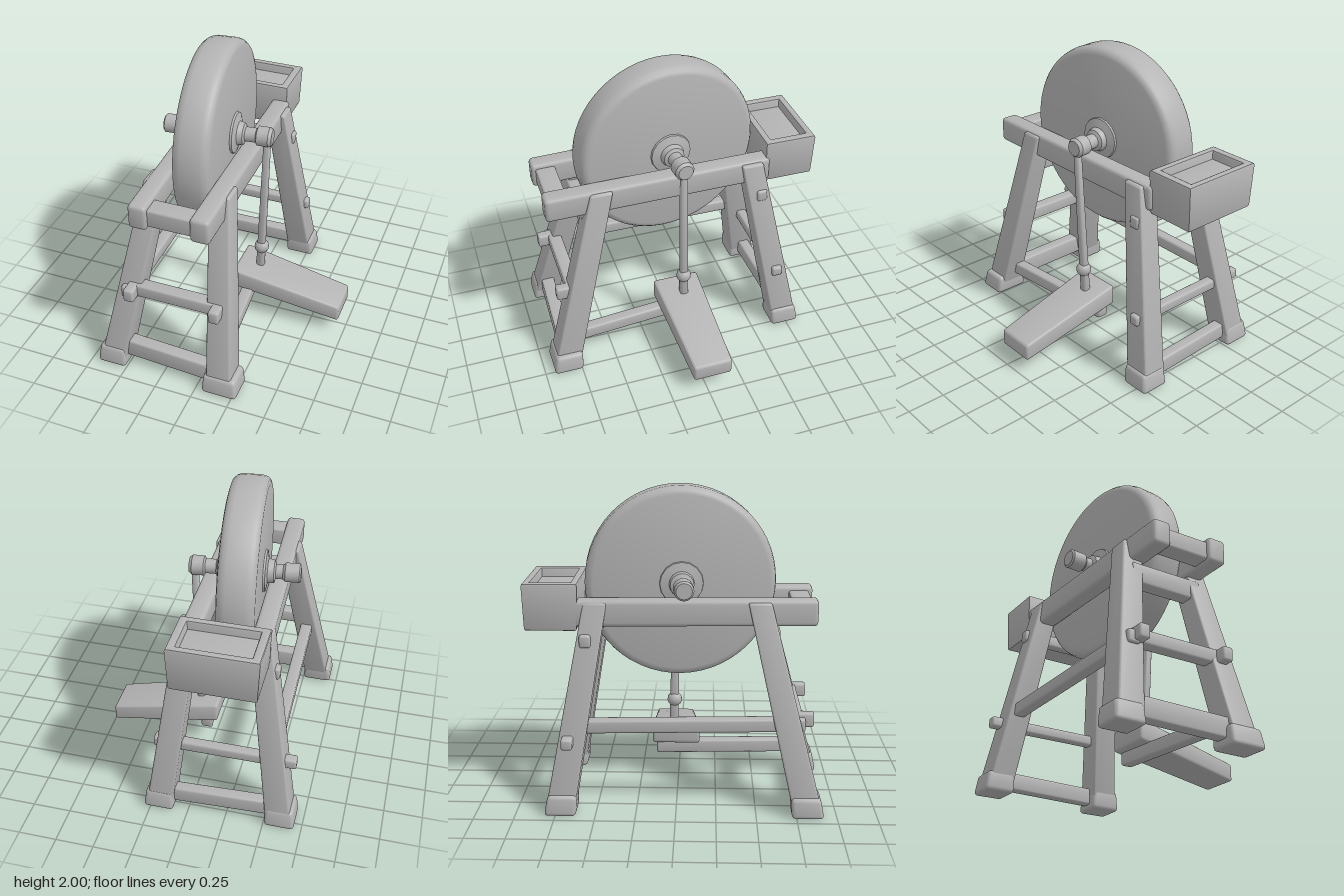
import * as THREE from 'three';
import { toCreasedNormals } from 'three/addons/utils/BufferGeometryUtils.js';
import { RoundedBoxGeometry } from 'three/addons/geometries/RoundedBoxGeometry.js';

export function createModel() {
  const model = new THREE.Group();
  model.name = 'treadleGrindstone';
  const grey = new THREE.MeshStandardMaterial({ color: 0xb4b4b4 });
  grey.name = 'plain grey';

  const add = (name, geometry, parent = model) => {
    const mesh = new THREE.Mesh(toCreasedNormals(geometry, 0.6), grey);
    mesh.name = name;
    parent.add(mesh);
    return mesh;
  };

  // Rounded timber from a to b along one main axis; size is its section at a,
  // taper scales the section at b. Sections stay square to the main axis.
  const beam = (name, axis, a, b, size, taper = 1, radius = 0.015) => {
    const k = 'xyz'.indexOf(axis);
    const length = Math.abs(b[k] - a[k]);
    const dims = [...size];
    dims.splice(k, 0, length);
    const g = new RoundedBoxGeometry(...dims, 2, radius);
    const p = g.attributes.position;
    for (let i = 0; i < p.count; i++) {
      const v = [p.getX(i), p.getY(i), p.getZ(i)];
      const t = v[k] / length + 0.5;
      const s = 1 + (taper - 1) * t;
      const out = v.map((c, j) => a[j] + (b[j] - a[j]) * t + (j === k ? 0 : c * s));
      p.setXYZ(i, ...out);
    }
    return add(name, g);
  };

  // Splayed legs with block feet: foot centre, then top centre
  const legs = [
    ['frontLeft', [0.16, 0.84], [0.05, 0.51]],
    ['frontRight', [-0.6, 0.82], [-0.38, 0.51]],
    ['backLeft', [0.19, -0.74], [0.05, -0.5]],
    ['backRight', [-0.6, -0.72], [-0.4, -0.5]],
  ];
  for (const [name, [fx, fz], [tx, tz]] of legs) {
    beam(name + 'Leg', 'y', [fx, 0.03, fz], [tx, 1.31, tz], [0.17, 0.18], 0.8);
    const w = name === 'frontLeft' ? 0.24 : 0.2;
    beam(name + 'Foot', 'y', [fx + (fx > 0 ? 0.005 : -0.005), 0, fz],
      [fx, 0.13, fz - Math.sign(fz) * 0.015], [w, 0.2], 0.9, 0.025);
  }

  // Top rails and the bars joining them
  beam('leftRail', 'z', [0.03, 1.24, -0.63], [0.04, 1.24, 0.87], [0.125, 0.165], 1, 0.025);
  beam('rightRail', 'z', [-0.41, 1.24, -0.63], [-0.36, 1.24, 0.87], [0.12, 0.165], 1, 0.025);
  beam('frontRailBar', 'x', [-0.36, 1.235, 0.78], [0.04, 1.235, 0.78], [0.12, 0.13]);
  beam('frontUpperBar', 'x', [-0.42, 1.07, 0.59], [0.07, 1.07, 0.59], [0.13, 0.1]);
  beam('backUpperBar', 'x', [-0.53, 1.08, -0.56], [0.16, 1.08, -0.56], [0.08, 0.07]);

  // Stretchers between the legs
  beam('frontStretcher', 'x', [-0.5, 0.58, 0.74], [0.14, 0.58, 0.74], [0.09, 0.09]);
  beam('backStretcher', 'x', [-0.68, 0.465, -0.67], [0.25, 0.465, -0.67], [0.07, 0.07]);
  beam('sideStretcher', 'z', [-0.53, 0.54, -0.68], [-0.51, 0.56, 0.8], [0.08, 0.085]);
  beam('frontFootBar', 'x', [-0.56, 0.13, 0.81], [0.14, 0.11, 0.83], [0.13, 0.09]);
  beam('backFootBar', 'x', [-0.56, 0.1, -0.72], [0.17, 0.09, -0.74], [0.11, 0.08]);
  beam('treadleBar', 'z', [0.04, 0.19, -0.15], [0.11, 0.18, 0.8], [0.08, 0.09]);

  // Tenon ends on the front legs
  for (const [side, x] of [['left', 0.105], ['right', -0.475]]) {
    beam(side + 'Tenon', 'z', [x, 0.58, 0.68], [x, 0.58, 0.855], [0.07, 0.09]);
  }

  // Stone and axle share one slightly skewed axis
  const wheel = new THREE.Group();
  wheel.name = 'wheelAssembly';
  wheel.position.set(-0.185, 1.4, 0.015);
  wheel.rotation.y = 0.095;
  model.add(wheel);
  const turned = (name, points, sides) => {
    const g = new THREE.LatheGeometry(points.map(([r, y]) => new THREE.Vector2(r, y)), sides);
    return add(name, g.rotateZ(-Math.PI / 2), wheel);
  };
  turned('grindstone', [[0, -0.117], [0.55, -0.117], [0.575, -0.11], [0.592, -0.09], [0.6, -0.06],
    [0.6, 0.06], [0.592, 0.09], [0.575, 0.11], [0.55, 0.117], [0, 0.117]], 56);
  turned('axle', [[0, -0.35], [0.05, -0.35], [0.062, -0.34], [0.062, -0.25], [0.048, -0.235],
    [0.048, -0.19], [0.075, -0.18], [0.08, -0.14], [0.135, -0.13], [0.14, -0.11],
    [0.14, 0.11], [0.135, 0.13], [0.08, 0.145], [0.07, 0.18], [0.048, 0.19],
    [0.048, 0.26], [0.065, 0.27], [0.065, 0.345], [0.05, 0.365], [0, 0.365]], 16);

  // Connecting rod from crank to treadle
  beam('connectingRod', 'y', [0.1, 0.32, -0.035], [0.145, 1.39, -0.015], [0.055, 0.06], 0.8, 0.02);
  const joint = add('rodJoint', new THREE.SphereGeometry(0.05, 14, 10));
  joint.position.set(0.11, 0.5, -0.03);

  // Sloping treadle board, thicker at its inner end
  beam('treadle', 'x', [-0.04, 0.305, -0.015], [0.71, 0.155, -0.04], [0.14, 0.32], 0.82, 0.02)
    .geometry.computeBoundingBox();

  // Water trough with a shallow tray, narrowing slightly to its base
  const rect = (path, w, d) => path.moveTo(-w, -d).lineTo(w, -d).lineTo(w, d).lineTo(-w, d).closePath();
  const wall = rect(new THREE.Shape(), 0.263, 0.155);
  wall.holes.push(rect(new THREE.Path(), 0.237, 0.137));
  const g = new THREE.ExtrudeGeometry(wall, {
    depth: 0.27, bevelEnabled: true, bevelThickness: 0.015, bevelSize: 0.015, bevelSegments: 2,
  });
  g.rotateX(-Math.PI / 2);
  const p = g.attributes.position;
  for (let i = 0; i < p.count; i++) {
    const s = 0.95 + 0.05 * (p.getY(i) + 0.015) / 0.3;
    p.setXYZ(i, p.getX(i) * s - 0.2, p.getY(i) + 1.145, p.getZ(i) * s - 0.775);
  }
  add('troughWalls', g);
  beam('troughFloor', 'y', [-0.2, 1.133, -0.775], [-0.2, 1.37, -0.775], [0.47, 0.27], 1.03, 0.004);

  return model;
}
